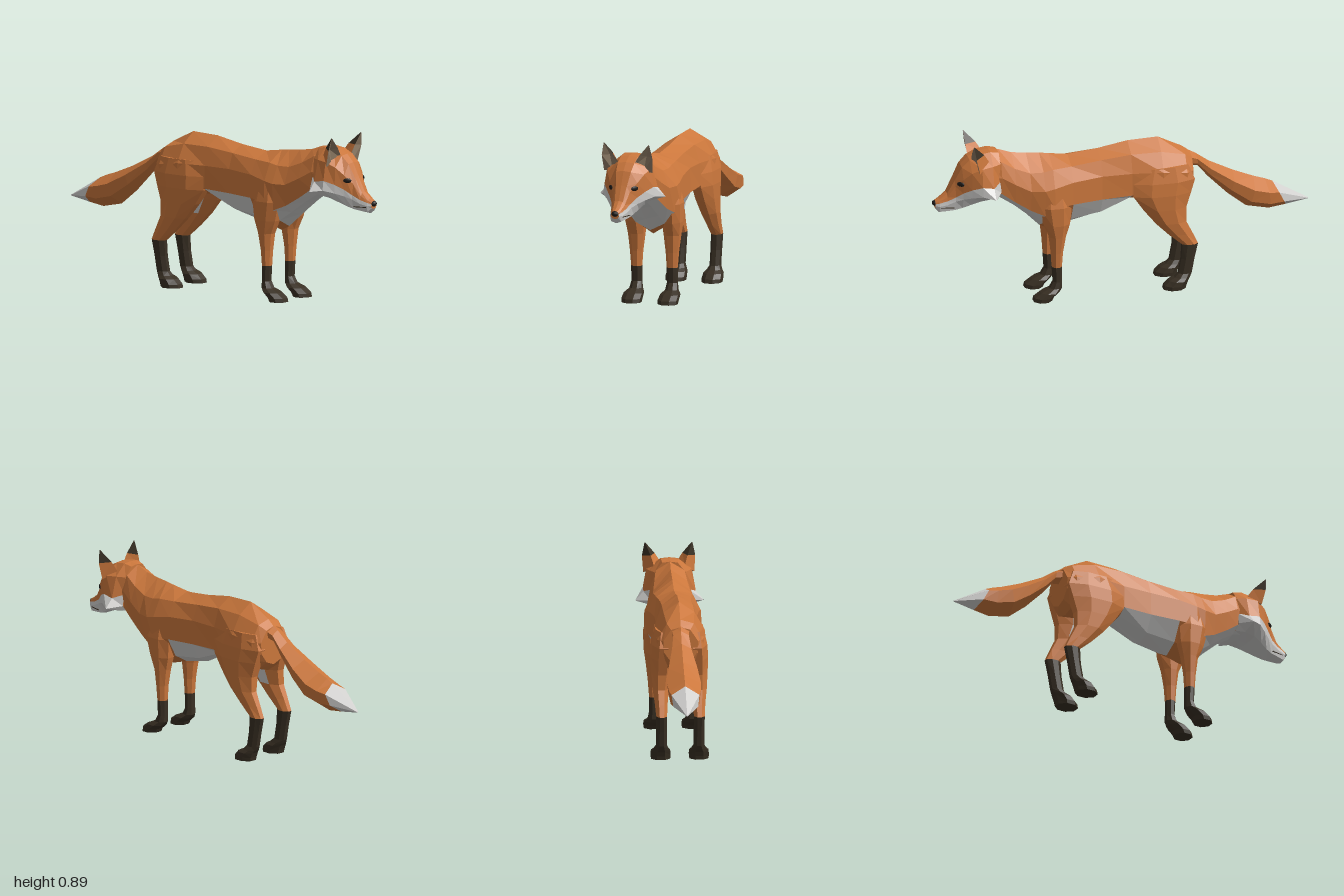
import * as THREE from 'three';

const mat = (name, color) => {
  const m = new THREE.MeshStandardMaterial({ color });
  m.name = name;
  return m;
};
const ORANGE = 0, WHITE = 1, DARK = 2, TAN = 3, BLACK = 4;
const materials = [
  mat('orangeFur', 0xcb773c),
  mat('whiteFur', 0xd0cfcd),
  mat('darkFur', 0x382f23),
  mat('innerEar', 0x8f7c66),
  mat('noseAndEyes', 0x1d1a18),
];

// Faceted skin over closed rings of points; colourOf(segment, column) picks the material.
function loft(name, rings, colourOf) {
  const buckets = materials.map(() => []);
  const n = rings[0].length;
  let volume = 0;
  const tri = (c, p, q, r) => {
    const [a, b, d] = [p, q, r].map(v => new THREE.Vector3(...v));
    volume += a.dot(b.cross(d));
    buckets[c].push([p, q, r]);
  };
  for (let i = 0; i < rings.length - 1; i++) {
    for (let j = 0; j < n; j++) {
      const k = (j + 1) % n, c = colourOf(i, j);
      tri(c, rings[i][j], rings[i][k], rings[i + 1][k]);
      tri(c, rings[i][j], rings[i + 1][k], rings[i + 1][j]);
    }
  }
  // end caps, fanned from the ring centre
  [0, rings.length - 1].forEach((i, end) => {
    const ring = rings[i];
    const mid = [0, 1, 2].map(a => ring.reduce((s, p) => s + p[a], 0) / n);
    const c = colourOf(Math.min(i, rings.length - 2), 0);
    for (let j = 0; j < n; j++) {
      const p = ring[j], q = ring[(j + 1) % n];
      if (end) tri(c, mid, p, q); else tri(c, mid, q, p);
    }
  });
  const geometry = new THREE.BufferGeometry();
  const positions = [];
  buckets.forEach((tris, c) => {
    if (!tris.length) return;
    geometry.addGroup(positions.length / 3, tris.length * 3, c);
    for (const [p, q, r] of tris) positions.push(...p, ...(volume < 0 ? [...r, ...q] : [...q, ...r]));
  });
  geometry.setAttribute('position', new THREE.Float32BufferAttribute(positions, 3));
  geometry.computeVertexNormals();
  const mesh = new THREE.Mesh(geometry, materials);
  mesh.name = name;
  return mesh;
}

// Mirrored ring at x: top height, then (z, y) pairs down one side, then bottom height.
function profileRing([x, top, ...rest]) {
  const bottom = rest.pop(), side = [];
  for (let i = 0; i < rest.length; i += 2) side.push([x, rest[i + 1], rest[i]]);
  const other = side.map(([a, y, z]) => [a, y, -z]).reverse();
  return [[x, top, 0], ...side, [x, bottom, 0], ...other];
}

// Horizontal eight-sided ring filling a box in x and z.
const legRing = side => ([y, x0, x1, z0, z1]) => Array.from({ length: 8 }, (_, k) => {
  const a = (k + 0.5) * Math.PI / 4, s = 0.5 / Math.cos(Math.PI / 8);
  return [(x0 + x1) / 2 + Math.cos(a) * s * (x1 - x0), y,
    side * ((z0 + z1) / 2 + Math.sin(a) * s * (z1 - z0))];
});

const bodySections = [
  [-0.37, 0.715, 0.05, 0.70, 0.09, 0.64, 0.085, 0.58, 0.05, 0.53, 0.51],
  [-0.33, 0.745, 0.07, 0.725, 0.12, 0.64, 0.12, 0.55, 0.07, 0.49, 0.47],
  [-0.20, 0.81, 0.08, 0.755, 0.135, 0.66, 0.14, 0.55, 0.08, 0.50, 0.48],
  [-0.04, 0.805, 0.08, 0.755, 0.11, 0.66, 0.112, 0.54, 0.06, 0.51, 0.50],
  [0.12, 0.777, 0.08, 0.74, 0.11, 0.66, 0.115, 0.535, 0.07, 0.45, 0.42],
  [0.28, 0.76, 0.09, 0.725, 0.13, 0.65, 0.135, 0.53, 0.08, 0.43, 0.385],
  [0.38, 0.775, 0.10, 0.72, 0.145, 0.63, 0.15, 0.52, 0.09, 0.41, 0.355],
  [0.43, 0.782, 0.10, 0.71, 0.145, 0.62, 0.135, 0.48, 0.08, 0.42, 0.38],
  [0.50, 0.788, 0.095, 0.71, 0.13, 0.62, 0.118, 0.51, 0.07, 0.47, 0.45],
  [0.58, 0.80, 0.085, 0.74, 0.115, 0.66, 0.105, 0.56, 0.06, 0.53, 0.52],
  [0.65, 0.825, 0.075, 0.78, 0.10, 0.70, 0.095, 0.61, 0.05, 0.575, 0.565],
  [0.73, 0.825, 0.04, 0.80, 0.08, 0.70, 0.08, 0.62, 0.05, 0.59, 0.58],
];

const headSections = [
  [0.655, 0.825, 0.04, 0.82, 0.08, 0.77, 0.09, 0.68, 0.10, 0.62, 0.07, 0.59, 0.58],
  [0.70, 0.832, 0.045, 0.829, 0.105, 0.77, 0.135, 0.66, 0.178, 0.611, 0.09, 0.585, 0.578],
  [0.76, 0.825, 0.045, 0.82, 0.118, 0.765, 0.135, 0.67, 0.143, 0.62, 0.085, 0.575, 0.567],
  [0.81, 0.80, 0.045, 0.795, 0.10, 0.74, 0.105, 0.65, 0.105, 0.605, 0.07, 0.555, 0.547],
  [0.85, 0.76, 0.04, 0.755, 0.075, 0.70, 0.076, 0.625, 0.075, 0.59, 0.055, 0.537, 0.53],
  [0.885, 0.69, 0.03, 0.685, 0.046, 0.655, 0.053, 0.597, 0.055, 0.575, 0.045, 0.525, 0.515],
  [0.925, 0.615, 0.022, 0.61, 0.033, 0.595, 0.04, 0.575, 0.044, 0.555, 0.038, 0.52, 0.508],
  [0.965, 0.585, 0.017, 0.58, 0.025, 0.572, 0.03, 0.562, 0.034, 0.545, 0.028, 0.515, 0.505],
  [0.985, 0.573, 0.012, 0.57, 0.018, 0.563, 0.02, 0.556, 0.022, 0.545, 0.016, 0.535, 0.53],
];

// Tail: top x, y, bottom x, y, half width.
const tailSections = [
  [-0.33, 0.738, -0.33, 0.64, 0.05], [-0.40, 0.70, -0.41, 0.63, 0.04],
  [-0.47, 0.65, -0.47, 0.56, 0.05], [-0.60, 0.585, -0.57, 0.46, 0.075],
  [-0.71, 0.54, -0.67, 0.38, 0.088], [-0.77, 0.52, -0.79, 0.354, 0.082],
  [-0.81, 0.503, -0.88, 0.366, 0.072], [-1, 0.392, -1, 0.386, 0.004],
];

// Legs: height, x range, z range.
const frontLegSections = [
  [0.60, 0.30, 0.44, 0.06, 0.135], [0.52, 0.285, 0.455, 0.05, 0.154],
  [0.42, 0.295, 0.43, 0.05, 0.15], [0.35, 0.315, 0.40, 0.055, 0.14],
  [0.26, 0.33, 0.39, 0.065, 0.13], [0.18, 0.335, 0.385, 0.07, 0.124],
  [0.10, 0.335, 0.38, 0.07, 0.124], [0.065, 0.335, 0.40, 0.065, 0.13],
  [0.045, 0.35, 0.445, 0.05, 0.148], [0.02, 0.38, 0.48, 0.048, 0.15],
  [0, 0.39, 0.485, 0.05, 0.148],
];
const hindLegSections = [
  [0.68, -0.34, -0.08, 0.04, 0.125], [0.60, -0.372, -0.04, 0.03, 0.143],
  [0.53, -0.35, -0.045, 0.03, 0.148], [0.45, -0.325, -0.10, 0.04, 0.145],
  [0.37, -0.325, -0.165, 0.055, 0.14], [0.30, -0.36, -0.235, 0.065, 0.13],
  [0.24, -0.388, -0.305, 0.07, 0.125], [0.16, -0.37, -0.30, 0.07, 0.124],
  [0.08, -0.355, -0.285, 0.07, 0.124], [0.06, -0.345, -0.265, 0.06, 0.135],
  [0.045, -0.335, -0.235, 0.05, 0.148], [0.02, -0.325, -0.21, 0.048, 0.15],
  [0, -0.32, -0.205, 0.05, 0.148],
];

// Ear rings: inner edge, hollow, outer edge, back.
const earRings = [
  [[0.80, 0.775, 0.03], [0.775, 0.75, 0.085], [0.775, 0.745, 0.132], [0.715, 0.79, 0.08]],
  [[0.805, 0.838, 0.072], [0.775, 0.83, 0.10], [0.795, 0.828, 0.138], [0.745, 0.837, 0.095]],
  [[0.806, 0.894, 0.12], [0.804, 0.893, 0.122], [0.805, 0.894, 0.124], [0.802, 0.895, 0.122]],
];

export function createModel() {
  const fox = new THREE.Group();
  fox.name = 'fox';

  // Body with white belly and chest
  fox.add(loft('body', bodySections.map(profileRing), (i, j) =>
    j >= 3 && j <= 6 && ((i >= 3 && i < 5) || i >= 7) ? WHITE : ORANGE));

  // Head with white cheeks, lips and chin
  fox.add(loft('head', headSections.map(profileRing), (i, j) => (j >= 3 && j <= 8 ? WHITE : ORANGE)));

  // Tail with white tip
  const tailRings = tailSections.map(([xt, yt, xb, yb, w]) => {
    const at = (t, z) => [xt + (xb - xt) * t, yt + (yb - yt) * t, z];
    return [at(0, 0), at(0.3, w), at(0.7, w * 0.9), at(1, 0), at(0.7, -w * 0.9), at(0.3, -w)];
  });
  fox.add(loft('tail', tailRings, i => (i >= 6 ? WHITE : ORANGE)));

  // Nose
  const nose = new THREE.Mesh(new THREE.IcosahedronGeometry(1, 1), materials[BLACK]);
  nose.name = 'nose';
  nose.scale.set(0.019, 0.016, 0.02);
  nose.position.set(0.981, 0.557, 0);
  fox.add(nose);

  for (const side of [1, -1]) {
    // Legs with dark stockings and pale inner thighs
    fox.add(loft('frontLeg', frontLegSections.map(legRing(side)), i => (i >= 5 ? DARK : ORANGE)));
    fox.add(loft('hindLeg', hindLegSections.map(legRing(side)), (i, j) =>
      i >= 6 ? DARK : j === 5 && i >= 1 && i < 4 ? WHITE : ORANGE));

    // Ears with dark tips
    fox.add(loft('ear', earRings.map(r => r.map(([x, y, z]) => [x, y, z * side])), (i, j) =>
      j < 2 ? TAN : i === 0 ? ORANGE : DARK));

    // Eyes
    const eye = new THREE.Mesh(new THREE.IcosahedronGeometry(1, 1), materials[BLACK]);
    eye.name = 'eye';
    eye.scale.set(0.022, 0.013, 0.006);
    eye.position.set(0.862, 0.673, side * 0.065);
    eye.rotation.y = side > 0 ? 0.66 : Math.PI - 0.66;
    fox.add(eye);

    // Mouth line
    const mouth = new THREE.Mesh(new THREE.BoxGeometry(0.07, 0.004, 0.005), materials[DARK]);
    mouth.name = 'mouth';
    mouth.position.set(0.925, 0.538, side * 0.0405);
    mouth.rotation.y = side * 0.25;
    fox.add(mouth);
  }
  return fox;
}
